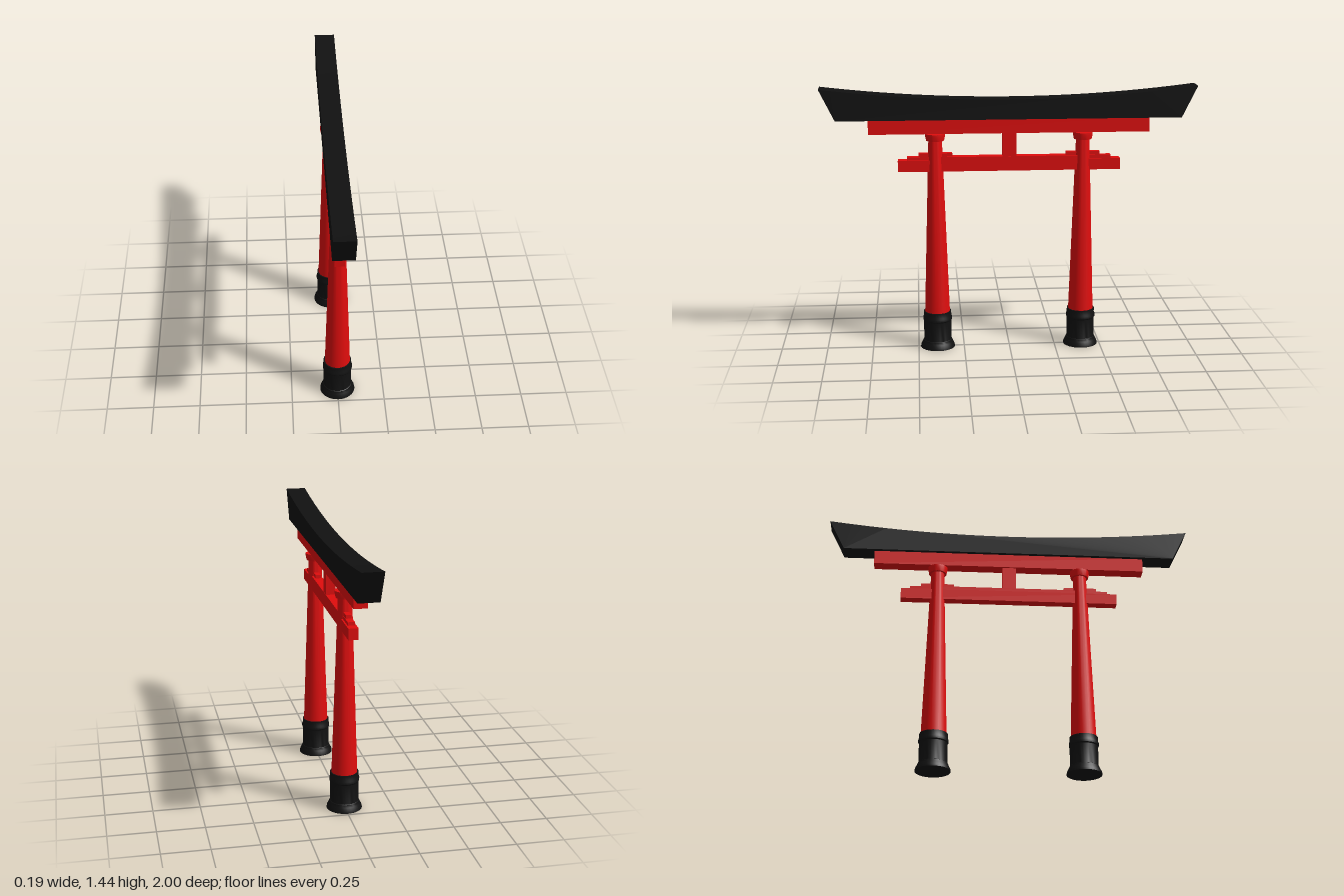
import * as THREE from 'three';
import { toCreasedNormals } from 'three/addons/utils/BufferGeometryUtils.js';

const red = new THREE.MeshStandardMaterial({ color: 0xe00d0d });
const black = new THREE.MeshStandardMaterial({ color: 0x111111 });

export function createModel() {
  const gate = new THREE.Group();
  gate.name = 'gate';

  const add = (name, geometry, material, z = 0, parent = gate) => {
    const mesh = new THREE.Mesh(geometry, material);
    mesh.name = name;
    mesh.position.z = z;
    parent.add(mesh);
    return mesh;
  };

  // Box given by half width in x, a y range and a z range
  const beam = (name, halfX, y0, y1, z0, z1) => {
    const box = new THREE.BoxGeometry(halfX * 2, y1 - y0, z1 - z0);
    box.translate(0, (y0 + y1) / 2, (z0 + z1) / 2);
    return add(name, box, red);
  };

  // Turned part from [radius, height] pairs, bottom to top
  const turned = (points) => toCreasedNormals(
    new THREE.LatheGeometry(points.map(([r, y]) => new THREE.Vector2(r, y)), 32), 0.5);

  // Columns with black feet and collars
  const foot = turned([[0, 0], [0.094, 0], [0.092, 0.012], [0.084, 0.028], [0.078, 0.042],
    [0.075, 0.044], [0.075, 0.152], [0.079, 0.158], [0.079, 0.172], [0.075, 0.18],
    [0.075, 0.205], [0, 0.205]]);
  const shaft = turned([[0.068, 0.2], [0.036, 1.16]]);
  const collar = turned([[0, 1.155], [0.048, 1.155], [0.053, 1.18], [0.053, 1.192], [0, 1.192]]);
  for (const side of [1, -1]) {
    const column = new THREE.Group();
    column.name = side > 0 ? 'leftColumn' : 'rightColumn';
    column.position.z = side * 0.395;
    gate.add(column);
    add('foot', foot, black, 0, column);
    add('shaft', shaft, red, 0, column);
    add('collar', collar, red, 0, column);
  }

  // Tie beam, with stepped wedges around each column
  beam('tieBeam', 0.026, 0.99, 1.05, -0.595, 0.595);
  beam('tieBeamMiddle', 0.026, 1.05, 1.068, -0.39, 0.39);
  for (const side of [1, -1]) {
    const wedge = (name, halfX, y0, y1, a, b) =>
      beam(name, halfX, y0, y1, Math.min(side * a, side * b), Math.max(side * a, side * b));
    wedge('lowerWedge', 0.018, 1.05, 1.068, 0.39, 0.545);
    wedge('upperWedge', 0.015, 1.068, 1.087, 0.305, 0.485);
  }

  // Centre strut and upper beam
  beam('centreStrut', 0.025, 1.06, 1.2, -0.037, 0.037);
  beam('upperBeam', 0.035, 1.195, 1.275, -0.748, 0.748);

  // Roof beam: flat underside, slanted ends, sweeping top
  const profile = new THREE.Shape();
  profile.moveTo(-0.918, 1.272);
  profile.lineTo(0.918, 1.272);
  const steps = 32;
  for (let i = 0; i <= steps; i++) {
    const t = 1 - (2 * i) / steps;
    profile.lineTo(t, 1.378 + 0.062 * t * t);
  }
  profile.closePath();
  const roof = new THREE.ExtrudeGeometry(profile, { depth: 0.11, bevelEnabled: false });
  roof.translate(0, 0, -0.055);
  roof.rotateY(Math.PI / 2);
  add('roofBeam', toCreasedNormals(roof, 0.5), black);

  return gate;
}
